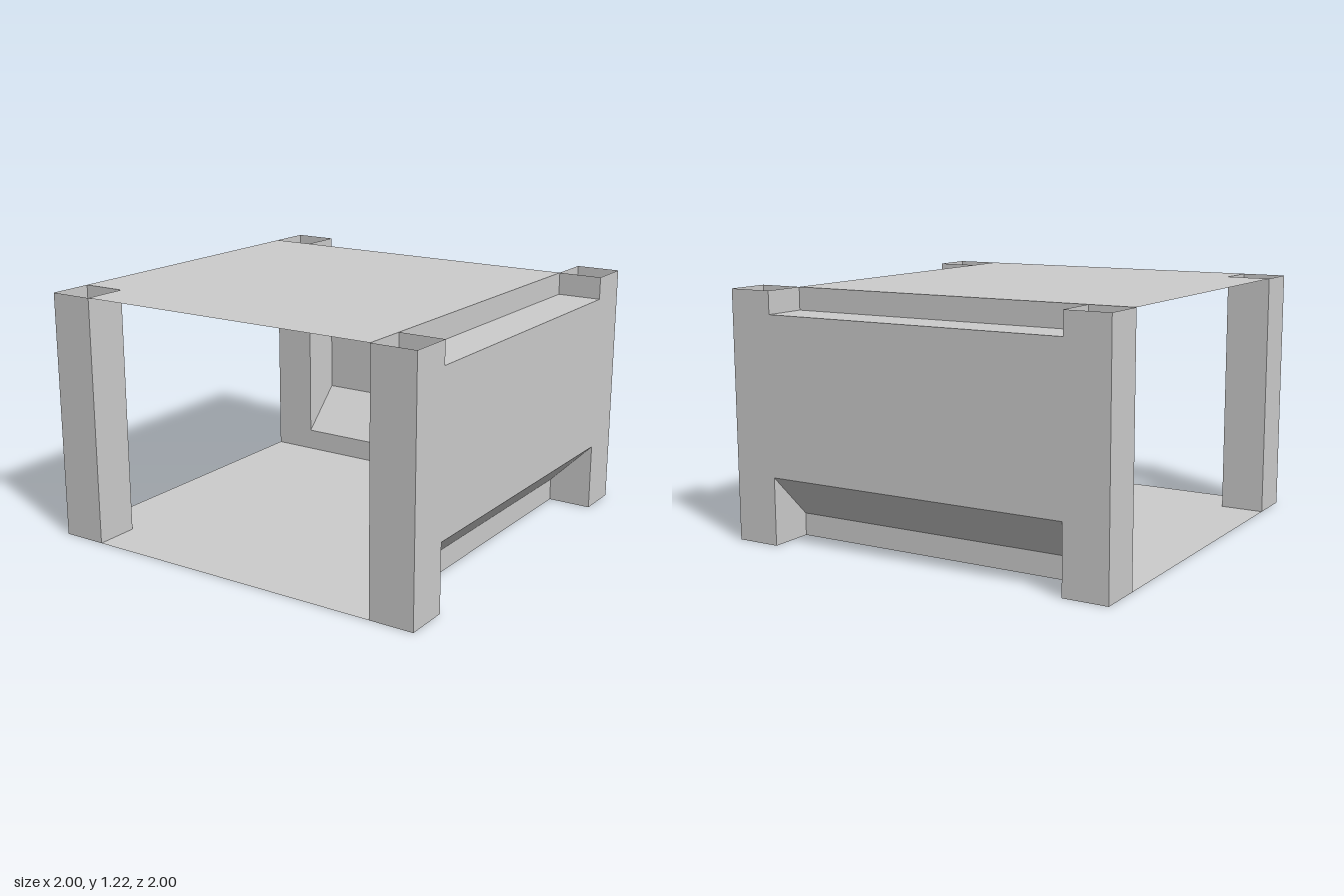
import * as THREE from 'three';

// All dimensions sit on a grid of 1/9 units.
const U = 1 / 9;
const OUT = 9 * U, IN = 7 * U, TOP = 11 * U;

const grey = new THREE.MeshStandardMaterial({ color: 0xcccccc, side: THREE.DoubleSide });
grey.name = 'grey';

// Thin wall made by sweeping an (outward, height) profile sideways, faceted.
function wallGeometry(profile, halfWidth) {
  const pos = [];
  for (let i = 0; i < profile.length - 1; i++) {
    const [o1, y1] = profile[i], [o2, y2] = profile[i + 1];
    const a = [-halfWidth, y1, o1], b = [halfWidth, y1, o1];
    const c = [halfWidth, y2, o2], d = [-halfWidth, y2, o2];
    pos.push(...a, ...d, ...c, ...a, ...c, ...b);
  }
  const geo = new THREE.BufferGeometry();
  geo.setAttribute('position', new THREE.Float32BufferAttribute(pos, 3));
  geo.computeVertexNormals();
  return geo;
}

export function createModel() {
  const model = new THREE.Group();
  model.name = 'openCabinet';
  const add = (name, geo) => {
    const mesh = new THREE.Mesh(geo, grey);
    mesh.name = name;
    model.add(mesh);
    return mesh;
  };

  // Hollow square corner posts, open at both ends
  const tube = new THREE.CylinderGeometry(U * Math.SQRT2, U * Math.SQRT2, TOP, 4, 1, true)
    .rotateY(Math.PI / 4).toNonIndexed();
  tube.computeVertexNormals();
  for (const [sx, sideName] of [[1, 'Left'], [-1, 'Right']]) {
    for (const [sz, endName] of [[1, 'front'], [-1, 'back']]) {
      add(endName + sideName + 'Post', tube).position.set(sx * 8 * U, TOP / 2, sz * 8 * U);
    }
  }

  // Top and floor sheets, notched around the posts and set back at the two walls
  const outline = [[-OUT, -IN], [IN, -IN], [IN, OUT], [-IN, OUT], [-IN, IN], [-OUT, IN]];
  const sheet = new THREE.ShapeGeometry(
    new THREE.Shape(outline.map(([x, z]) => new THREE.Vector2(x, -z)))
  ).rotateX(-Math.PI / 2);
  add('topPanel', sheet).position.y = TOP;
  add('floorPanel', sheet);

  // Two closed walls with a stepped ledge above and a sloped toe recess below
  const profile = [
    [IN, TOP], [IN, 10 * U], [OUT, 10 * U], [OUT, 3 * U], [IN, U], [IN, 0],
  ];
  const wall = wallGeometry(profile, IN);
  add('backWall', wall).rotation.y = Math.PI;
  add('leftWall', wall).rotation.y = Math.PI / 2;

  return model;
}
